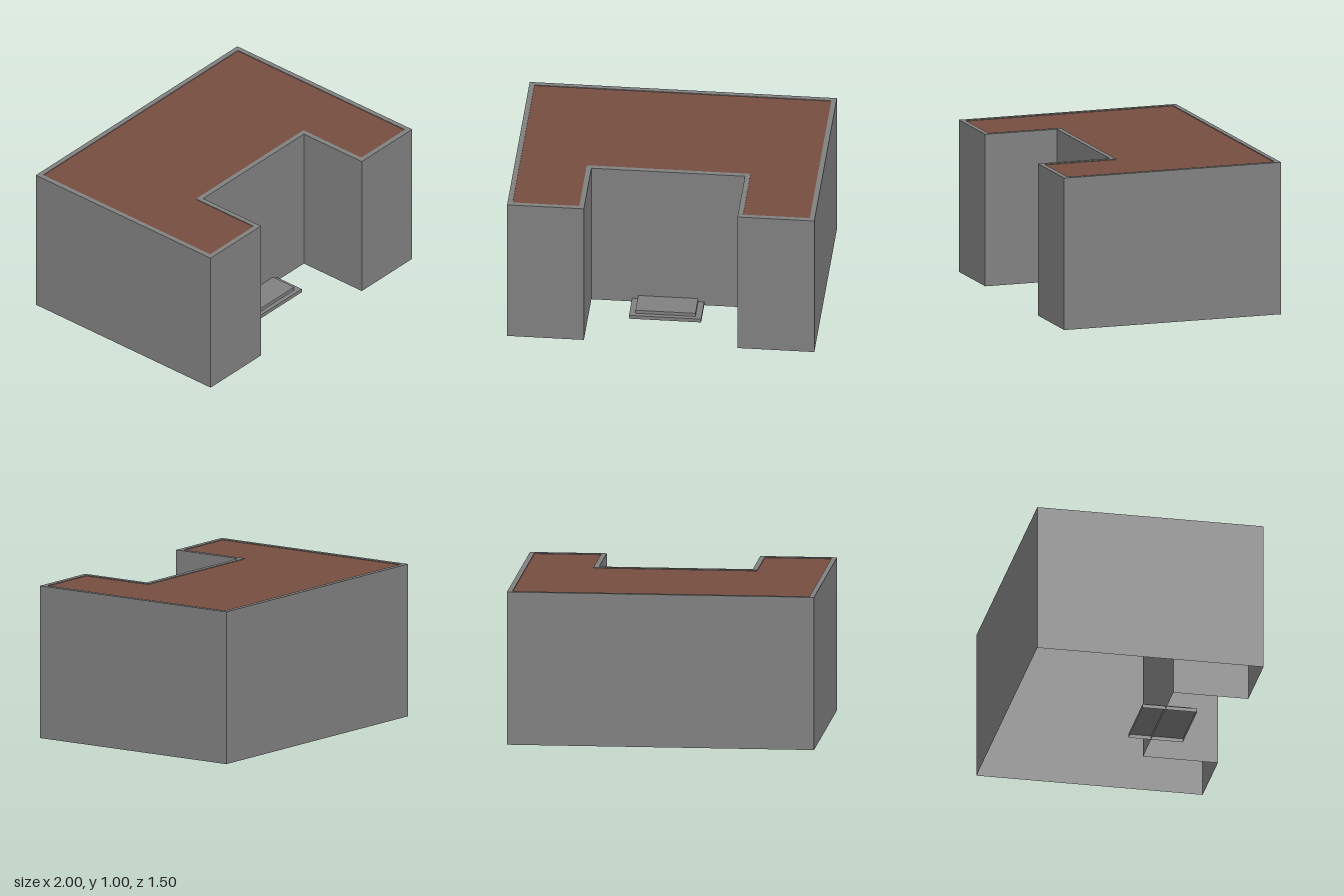
import * as THREE from 'three';

const HEIGHT = 1.005, ROOF_Y = 1.0;

// U-shaped outline in plan (x, z), drawn in by an inset
function footprint(inset) {
  const a = 1 - inset, back = -0.75 + inset, front = 0.745 - inset;
  const b = 0.5 + inset, court = 0.25 - inset;
  return [[-a, front], [-b, front], [-b, court], [b, court],
    [b, front], [a, front], [a, back], [-a, back]]
    .map(([x, z]) => new THREE.Vector2(x, -z));
}

// Closed outline with softly rounded corners
function trace(path, pts, r) {
  pts.forEach((p, i) => {
    const prev = pts[(i + pts.length - 1) % pts.length];
    const next = pts[(i + 1) % pts.length];
    const from = p.clone().add(prev.clone().sub(p).setLength(r));
    const to = p.clone().add(next.clone().sub(p).setLength(r));
    if (i === 0) path.moveTo(from.x, from.y);
    else path.lineTo(from.x, from.y);
    path.quadraticCurveTo(p.x, p.y, to.x, to.y);
  });
  path.closePath();
  return path;
}

export function createModel() {
  const model = new THREE.Group();
  model.name = 'building';
  const concrete = new THREE.MeshStandardMaterial({ color: 0x808080, side: THREE.DoubleSide });
  concrete.name = 'concrete grey';
  const roofing = new THREE.MeshStandardMaterial({ color: 0x754d40, side: THREE.DoubleSide });
  roofing.name = 'roof brown';

  const add = (name, geometry, material, parent = model) => {
    const mesh = new THREE.Mesh(geometry, material);
    mesh.name = name;
    parent.add(mesh);
    return mesh;
  };

  // Thin outer walls, open underneath
  const walls = new THREE.Group();
  walls.name = 'walls';
  model.add(walls);
  const outline = footprint(0);
  outline.forEach((p, i) => {
    const q = outline[(i + 1) % outline.length];
    const d = q.clone().sub(p);
    const wall = add('wall', new THREE.PlaneGeometry(d.length(), HEIGHT), concrete, walls);
    wall.position.set((p.x + q.x) / 2, HEIGHT / 2, -(p.y + q.y) / 2);
    wall.rotation.y = Math.atan2(d.y, d.x);
  });

  // Raised rim around the roof
  const rim = new THREE.Shape(outline);
  rim.holes.push(trace(new THREE.Path(), footprint(0.033), 0.012));
  const rimGeometry = new THREE.ExtrudeGeometry(rim, {
    depth: HEIGHT - ROOF_Y, bevelEnabled: false, curveSegments: 4,
  });
  rimGeometry.rotateX(-Math.PI / 2).translate(0, ROOF_Y, 0);
  add('roofRim', rimGeometry, concrete);

  // Flat roof surface inside the rim
  const roof = new THREE.ShapeGeometry(trace(new THREE.Shape(), footprint(0.033), 0.012), 4);
  roof.rotateX(-Math.PI / 2).translate(0, ROOF_Y, 0);
  add('roof', roof, roofing);

  // Entrance steps: shallow shells without a bottom, running on under the building
  const steps = new THREE.Group();
  steps.name = 'entranceSteps';
  model.add(steps);
  for (const [name, w, y0, y1, z0, z1] of [
    ['lowerStep', 0.47, 0, 0.025, 0.10, 0.46],
    ['upperStep', 0.39, 0.025, 0.048, 0.13, 0.43],
  ]) {
    const box = new THREE.BoxGeometry(w, y1 - y0, z1 - z0);
    const index = Array.from(box.index.array);
    index.splice(18, 6); // drop the bottom face
    box.setIndex(index);
    box.clearGroups();
    add(name, box, concrete, steps).position.set(0, (y0 + y1) / 2, (z0 + z1) / 2);
  }

  return model;
}
